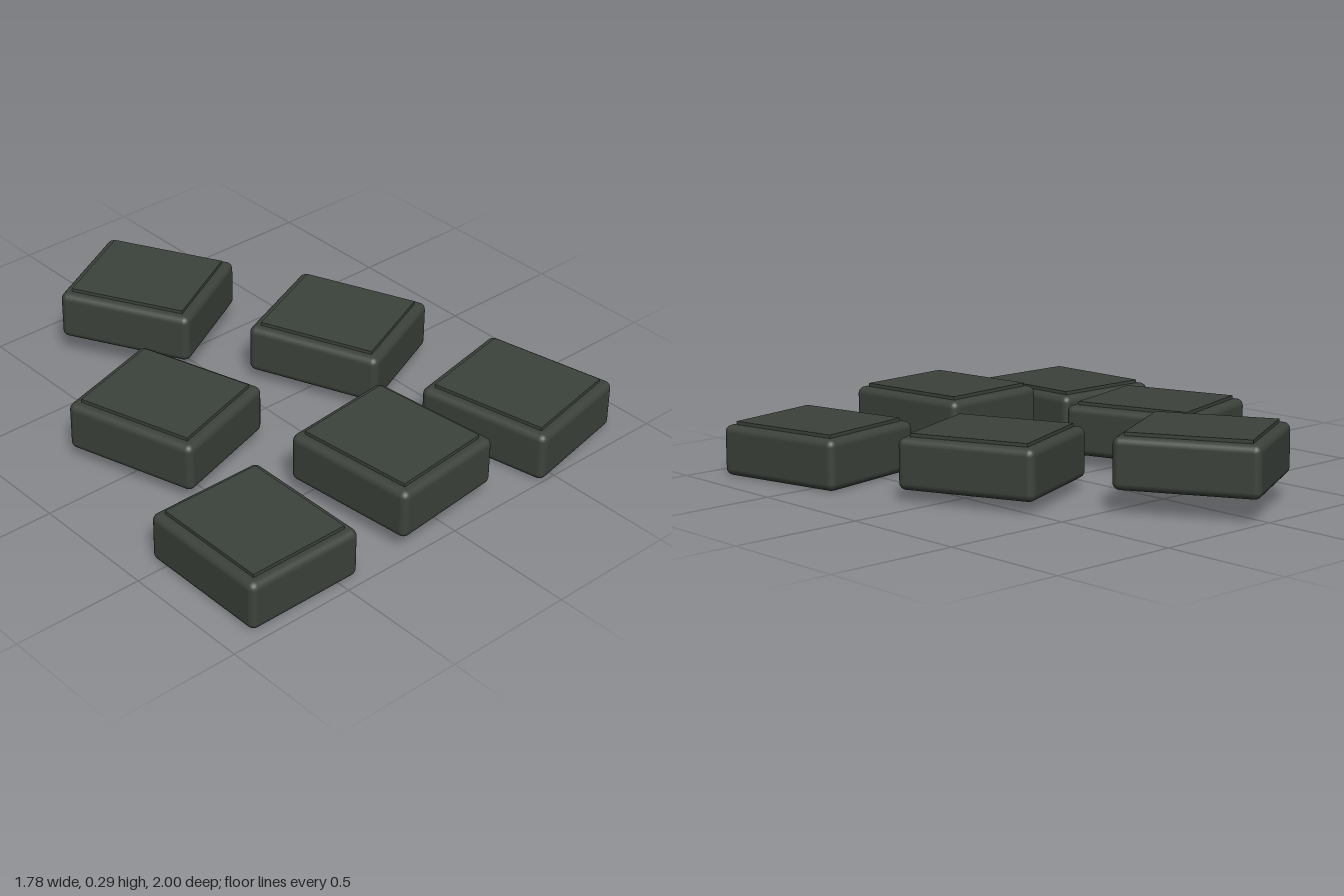
import * as THREE from 'three';
import { RoundedBoxGeometry } from 'three/addons/geometries/RoundedBoxGeometry.js';

const WIDTH = 0.472, HEIGHT = 0.19, DEPTH = 0.53;

// x, bottom y, z and turn of each block, front row first
const BLOCKS = [
  [-0.653, 0.002, 0.696, 0],
  [-0.022, 0.062, 0.697, 0.098],
  [0.611, 0.002, 0.697, 0.196],
  [-0.44, 0.045, -0.04, 0.294],
  [0.398, 0.045, -0.037, 0.392],
  [-0.021, 0.088, -0.668, 0.49],
];

export function createModel() {
  const model = new THREE.Group();
  model.name = 'blockPyramid';

  const slate = new THREE.MeshStandardMaterial({ color: 0x3c423b });
  slate.name = 'dark slate green';

  const bodyGeometry = new RoundedBoxGeometry(WIDTH, HEIGHT, DEPTH, 3, 0.027);
  const panelGeometry = new THREE.BoxGeometry(0.398, 0.03, 0.455);

  BLOCKS.forEach(([x, y, z, turn], i) => {
    const block = new THREE.Group();
    block.name = `block${i + 1}`;
    block.position.set(x, y, z);
    block.rotation.y = turn;

    // Rounded body
    const body = new THREE.Mesh(bodyGeometry, slate);
    body.name = 'body';
    body.position.y = HEIGHT / 2;

    // Raised panel, sunk partly into the body
    const panel = new THREE.Mesh(panelGeometry, slate);
    panel.name = 'topPanel';
    panel.position.y = HEIGHT - 0.002;

    block.add(body, panel);
    model.add(block);
  });

  return model;
}
